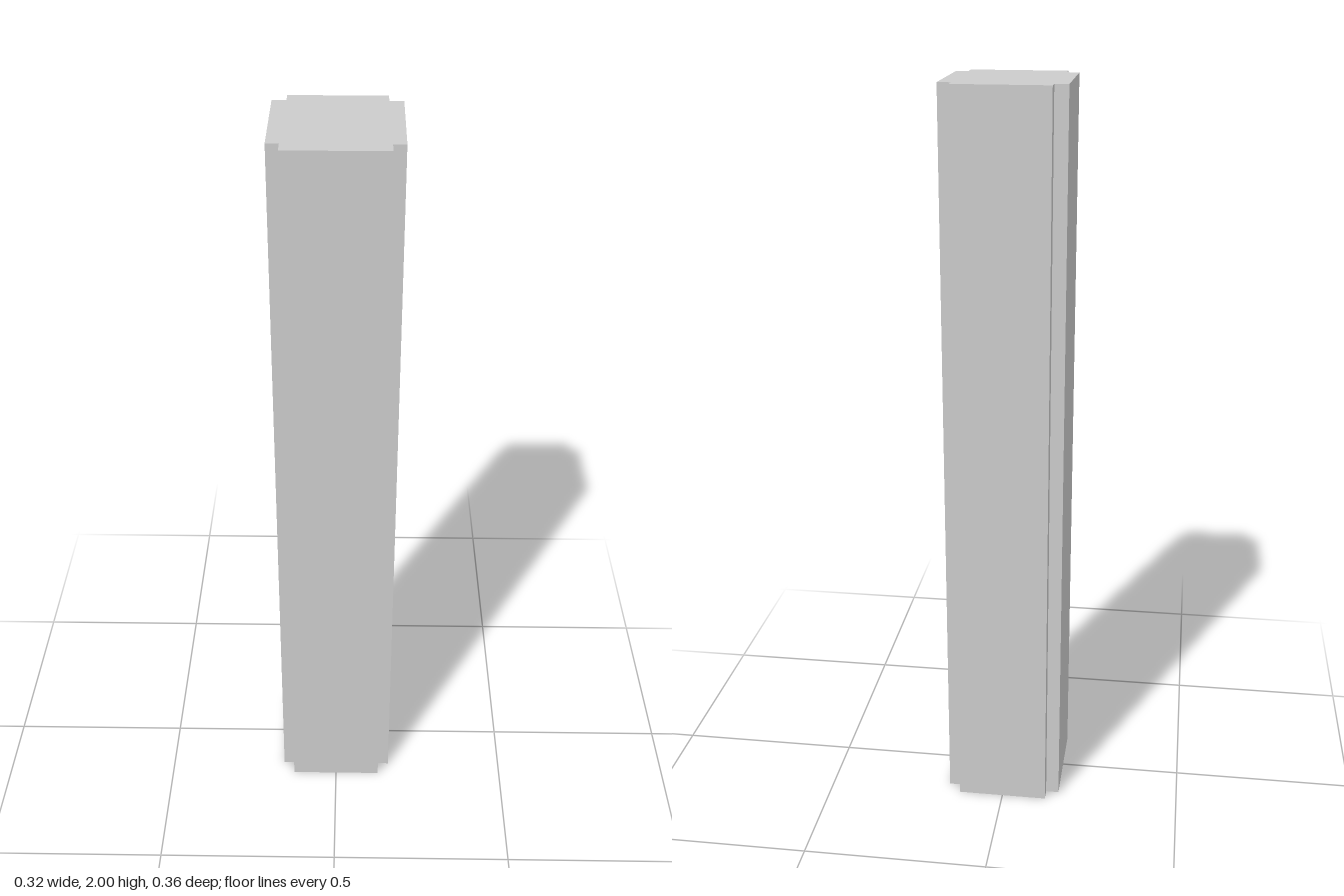
import * as THREE from 'three';

const HEIGHT = 2;

// Square column section with notched corners, as [x, z], starting at the front
const half = [[0.128, 0.178], [0.128, 0.138], [0.16, 0.138], [0.16, -0.142], [0.124, -0.142], [0.124, -0.178]];
const outline = [...half, ...half.map(([x, z]) => [-x, z]).reverse()];

// Flat walls raised along the outline
function wallGeometry() {
  const positions = [];
  outline.forEach(([ax, az], i) => {
    const [bx, bz] = outline[(i + 1) % outline.length];
    positions.push(ax, 0, az, bx, 0, bz, bx, HEIGHT, bz);
    positions.push(ax, 0, az, bx, HEIGHT, bz, ax, HEIGHT, az);
  });
  const geometry = new THREE.BufferGeometry();
  geometry.setAttribute('position', new THREE.Float32BufferAttribute(positions, 3));
  geometry.computeVertexNormals();
  return geometry;
}

export function createModel() {
  const group = new THREE.Group();
  group.name = 'column';
  const material = new THREE.MeshStandardMaterial({ color: 0xcccccc, flatShading: true, side: THREE.DoubleSide });

  // Thin shell, open at the bottom
  const walls = new THREE.Mesh(wallGeometry(), material);
  walls.name = 'columnWalls';

  // Closed top
  const shape = new THREE.Shape(outline.map(([x, z]) => new THREE.Vector2(x, -z)));
  const cap = new THREE.Mesh(new THREE.ShapeGeometry(shape).rotateX(-Math.PI / 2), material);
  cap.position.y = HEIGHT;
  cap.name = 'topCap';

  group.add(walls, cap);
  return group;
}
